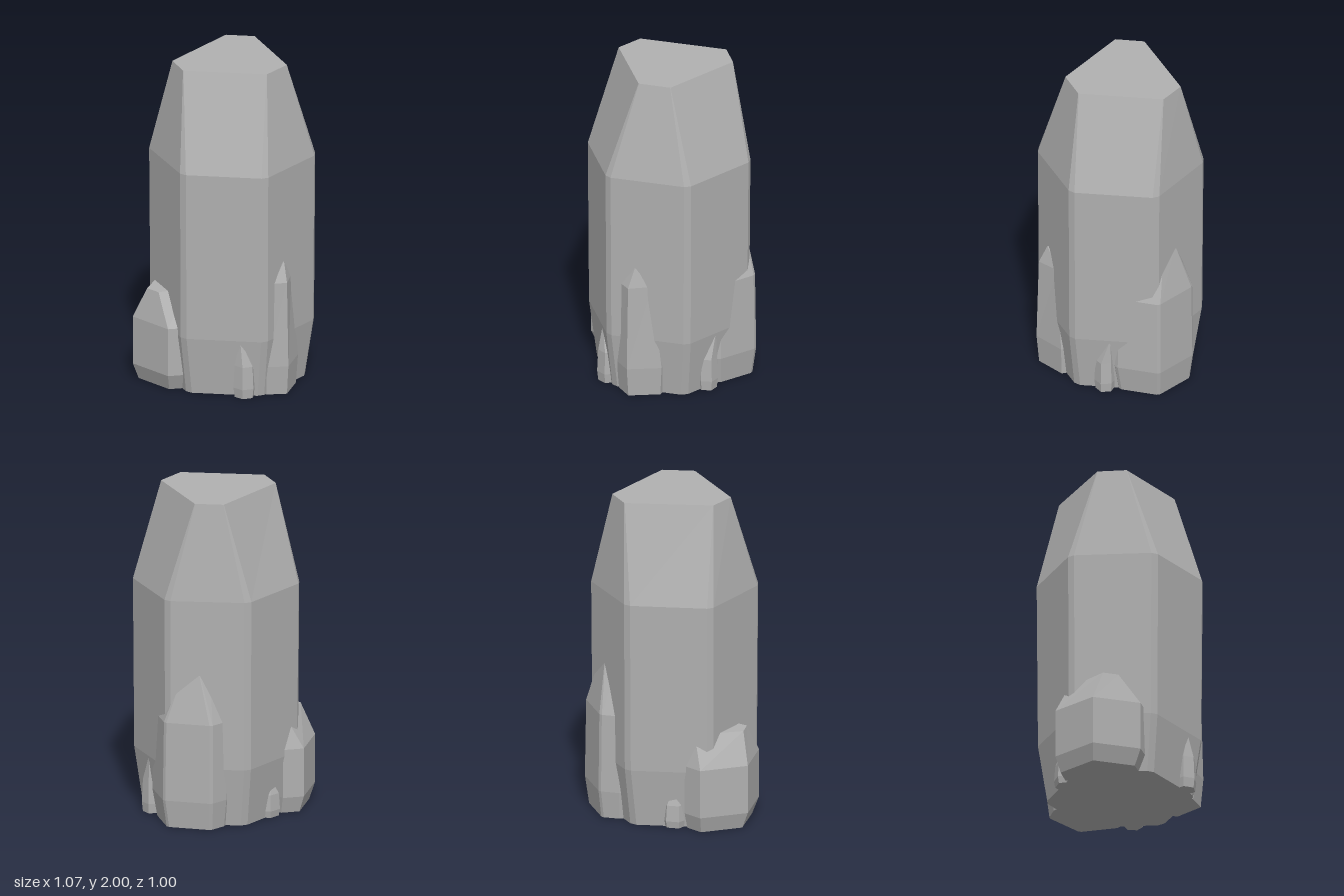
import * as THREE from 'three';

const stone = new THREE.MeshStandardMaterial({ color: 0xb0b0b0 });
stone.name = 'grey stone';

// Faceted prism through matching rings of [x, z] corners, listed back > right > front > left
function crystal(name, rings) {
  const pos = [];
  const tri = (...v) => v.forEach((p) => pos.push(p[0], p[1], p[2]));
  const loops = rings.map(([y, pts]) => pts.map(([x, z]) => [x, y, z]));
  const n = loops[0].length;
  for (let k = 0; k < loops.length - 1; k++) {
    for (let i = 0; i < n; i++) {
      const j = (i + 1) % n, lo = loops[k], hi = loops[k + 1];
      tri(lo[i], hi[i], lo[j]);
      tri(lo[j], hi[i], hi[j]);
    }
  }
  const base = loops[0], top = loops[loops.length - 1];
  for (let i = 1; i < n - 1; i++) {
    tri(base[0], base[i], base[i + 1]);
    tri(top[0], top[i + 1], top[i]);
  }
  const geo = new THREE.BufferGeometry();
  geo.setAttribute('position', new THREE.Float32BufferAttribute(pos, 3));
  geo.computeVertexNormals();
  const mesh = new THREE.Mesh(geo, stone);
  mesh.name = name;
  return mesh;
}

// Ring scaled about a centre, optionally moved to a new centre
const scaled = (pts, s, [cx, cz] = [0, 0], [tx, tz] = [cx, cz]) =>
  pts.map(([x, z]) => [tx + (x - cx) * s, tz + (z - cz) * s]);

// Cuts every corner of a ring by distance d
function bevel(pts, d) {
  const n = pts.length;
  return pts.flatMap((p, i) => [pts[(i + n - 1) % n], pts[(i + 1) % n]].map((q) => {
    const t = d / Math.hypot(q[0] - p[0], q[1] - p[1]);
    return [p[0] + (q[0] - p[0]) * t, p[1] + (q[1] - p[1]) * t];
  }));
}

// Small pointed hexagonal shard
function shard(name, x, z, r, turn, shoulder, height, tip) {
  const hex = Array.from({ length: 6 }, (_, i) => {
    const a = turn + (i * Math.PI) / 3;
    return [x + r * Math.cos(a), z + r * Math.sin(a)];
  });
  return crystal(name, [
    [0, scaled(hex, 0.9, [x, z])],
    [shoulder * 0.3, hex],
    [shoulder, scaled(hex, 0.9, [x, z])],
    [height, scaled(hex, 0.03, [x, z], tip)],
  ]);
}

export function createModel() {
  const group = new THREE.Group();
  group.name = 'crystalCluster';

  // Tall main column with narrow bevels and a cut-off top
  const body = [[-0.35, -0.37], [0.145, -0.505], [0.51, -0.17], [0.385, 0.335], [-0.1, 0.48], [-0.465, 0.13]];
  const crown = [[-0.295, -0.195], [0.215, -0.35], [0.34, -0.23], [0.215, 0.265], [0.025, 0.32], [-0.34, -0.025]];
  group.add(crystal('mainColumn', [
    [0, bevel(scaled(body, 0.88), 0.025)],
    [0.36, bevel(scaled(body, 0.985), 0.025)],
    [1.41, bevel(body, 0.025)],
    [2, bevel(crown, 0.002)],
  ]));

  // Blunt crystal at the back, on the -x side
  const blunt = [[-0.54, -0.26], [-0.31, -0.45], [-0.19, -0.4], [-0.2, -0.1], [-0.4, 0.08], [-0.497, 0.035]];
  const bluntTop = [[-0.485, -0.19], [-0.24, -0.36], [-0.15, -0.3], [-0.15, -0.1], [-0.3, -0.05], [-0.47, -0.095]];
  group.add(crystal('bluntCrystal', [
    [0, scaled(blunt, 0.87, [-0.25, -0.2])],
    [0.1, blunt],
    [0.4, blunt],
    [0.59, bluntTop],
  ]));

  // Taller crystal at the back, on the +x side
  const tall = [[0.35, -0.405], [0.53, -0.18], [0.43, 0.06], [0.25, 0.1], [0.1, -0.2], [0.22, -0.39]];
  const tallTop = [[0.36, -0.3], [0.42, -0.22], [0.35, -0.1], [0.25, -0.1], [0.2, -0.2], [0.28, -0.3]];
  group.add(crystal('tallCrystal', [
    [0, bevel(scaled(tall, 0.93, [0.25, -0.2]), 0.012)],
    [0.17, bevel(scaled(tall, 1.03, [0.25, -0.2]), 0.012)],
    [0.655, bevel(tall, 0.012)],
    [0.96, bevel(tallTop, 0.002)],
  ]));

  // Slim pointed crystal on the front
  const slimLow = [[0.07, 0.2], [0.2, 0.24], [0.22, 0.37], [0.055, 0.497], [-0.06, 0.43], [-0.08, 0.3]];
  const slimHigh = [[0.06, 0.2], [0.15, 0.25], [0.16, 0.385], [0.055, 0.483], [-0.02, 0.445], [-0.03, 0.3]];
  group.add(crystal('slimCrystal', [
    [0, scaled(slimLow, 0.92, [0.07, 0.3])],
    [0.18, slimLow],
    [0.71, slimHigh],
    [0.825, scaled(slimHigh, 0.03, [0.06, 0.35], [0.07, 0.43])],
  ]));

  // Little shards around the foot
  group.add(shard('frontShard', -0.165, 0.355, 0.07, 2.4, 0.2, 0.36, [-0.2, 0.36]));
  group.add(shard('sideShard', 0.385, 0.125, 0.065, -0.5, 0.2, 0.36, [0.43, 0.1]));
  group.add(shard('backShard', -0.11, -0.35, 0.08, -1.2, 0.14, 0.24, [-0.11, -0.38]));

  return group;
}
